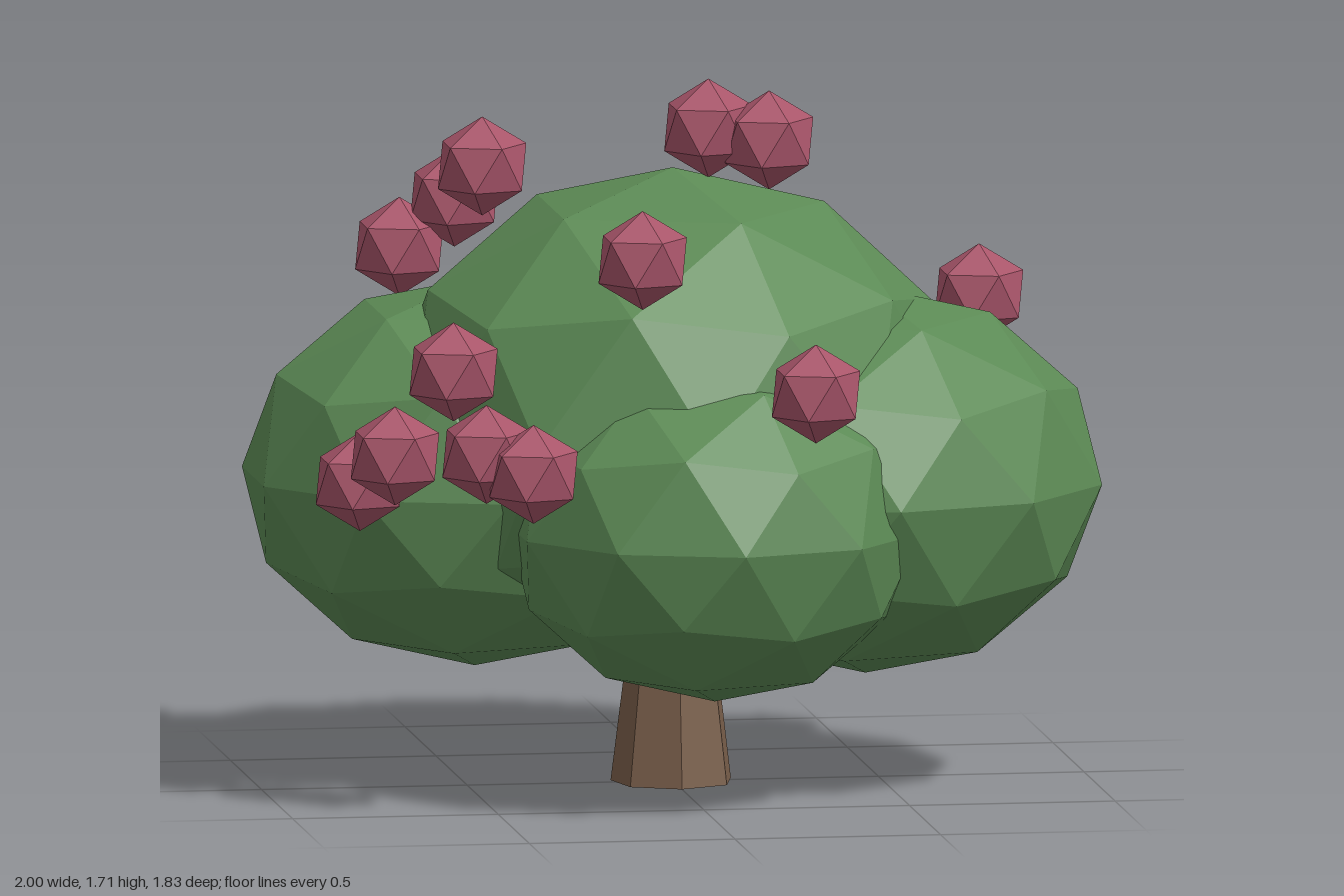
import * as THREE from 'three';

const material = (color) => new THREE.MeshStandardMaterial({ color, flatShading: true });

// Faceted ball standing on one of its corners, stretched to radius r and half height h
function facetedBall(r, h, detail) {
  const geometry = new THREE.IcosahedronGeometry(1, detail);
  geometry.rotateZ(-Math.atan(2 / (1 + Math.sqrt(5))));
  geometry.scale(r, h, r);
  geometry.computeVertexNormals();
  return geometry;
}

export function createModel() {
  const model = new THREE.Group();
  model.name = 'tree';
  const add = (name, geometry, mat, x, y, z, parent = model) => {
    const mesh = new THREE.Mesh(geometry, mat);
    mesh.name = name;
    mesh.position.set(x, y, z);
    parent.add(mesh);
  };

  // Tapered seven-sided trunk
  add('trunk', new THREE.CylinderGeometry(0.075, 0.15, 0.6, 7), material(0x7a5f4b), 0, 0.3, 0);

  // Crown: one large clump with four around it (name, radius, half height, x, y, z)
  const leaf = material(0x5c8a55);
  const clumps = [
    ['crownMiddle', 0.7, 0.6, 0, 0.89, 0],
    ['crownLeft', 0.577, 0.47, 0.45, 0.74, 0.12],
    ['crownRight', 0.567, 0.47, -0.46, 0.74, -0.145],
    ['crownFront', 0.505, 0.42, 0.04, 0.67, 0.41],
    ['crownBack', 0.52, 0.43, 0.055, 0.68, -0.395],
  ];
  for (const [name, r, h, x, y, z] of clumps) add(name, facetedBall(r, h, 1), leaf, x, y, z);

  // Fruits scattered over the crown
  const fruits = new THREE.Group();
  fruits.name = 'fruits';
  model.add(fruits);
  const fruitGeometry = facetedBall(0.12, 0.12, 0);
  const skin = material(0xa9556a);
  const spots = [
    [-0.6, 1.25, -0.43], [-0.47, 1.37, -0.405], [-0.45, 1.49, -0.09], [0.085, 1.585, 0.01],
    [0.225, 1.56, 0.06], [0.81, 0.9, -0.32], [0.775, 1.14, -0.2], [-0.81, 0.79, 0.325],
    [-0.745, 0.87, 0.46], [-0.617, 1.085, 0.555], [-0.555, 0.9, 0.675], [-0.452, 0.86, 0.75],
    [-0.167, 1.355, 0.62], [0.225, 1.05, 0.815],
  ];
  for (const [x, y, z] of spots) add('fruit', fruitGeometry, skin, x, y, z, fruits);

  return model;
}
